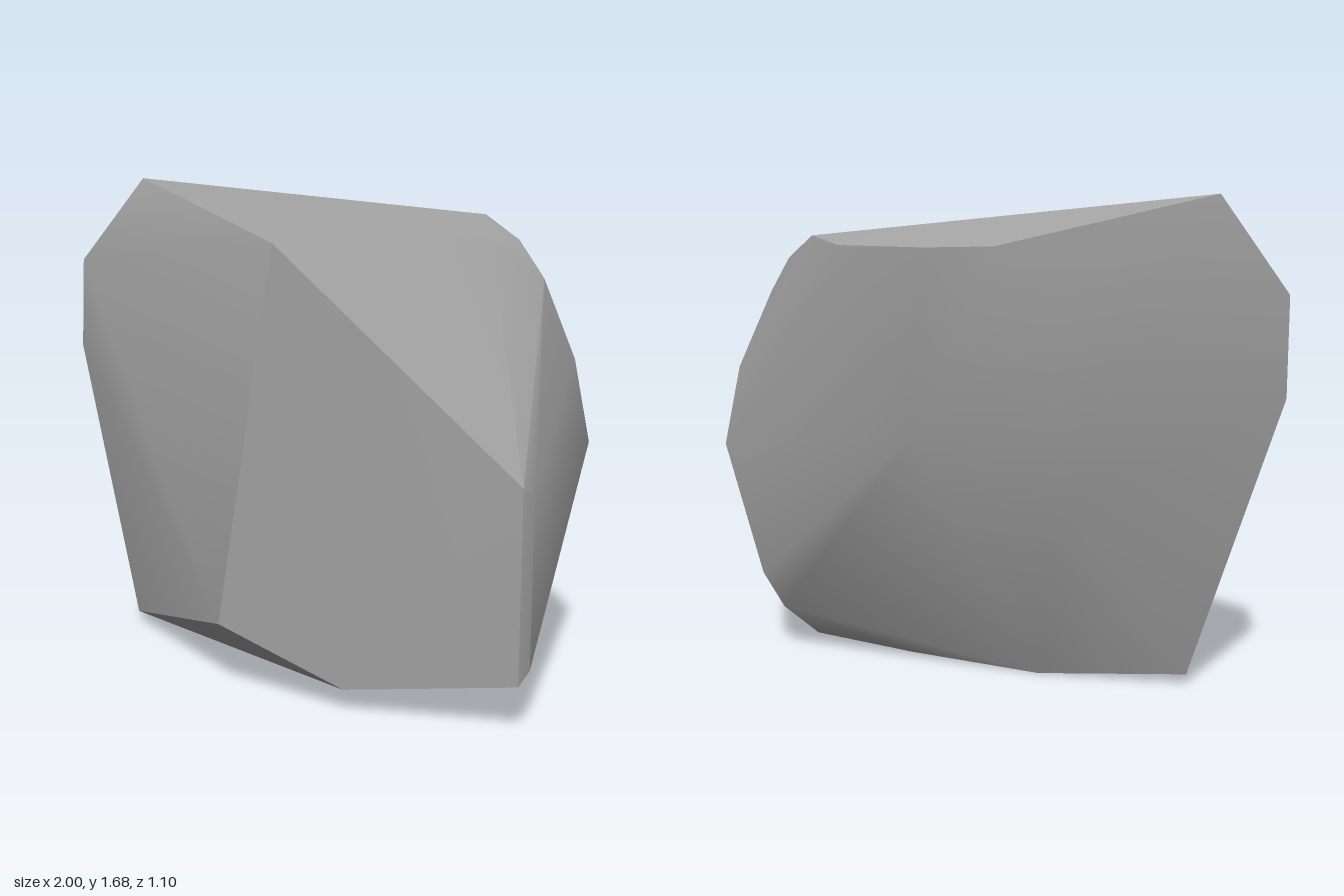
import * as THREE from 'three';
import { ConvexGeometry } from 'three/addons/geometries/ConvexGeometry.js';
import { toCreasedNormals } from 'three/addons/utils/BufferGeometryUtils.js';

// Corners of the boulder, grouped by the side they shape
const front = [
  [-0.99, 1.04, 0.39], [-0.65, 0.04, 0.37], [0.15, 0.24, 0.55],
  [0.32, 1.47, 0.45], [0.53, 0.08, 0.34],
];
const top = [
  [-0.86, 1.68, 0.18], [-1, 1.37, 0.37], [0.36, 1.55, -0.44],
  [0.57, 1.48, -0.24], [0.57, 1.47, -0.38], [0.69, 1.35, -0.37],
  [0.2, 1.52, -0.46], [-0.12, 1.515, -0.375], [-0.34, 1.52, -0.28],
];
const side = [
  [1, 0.77, 0.05], [1, 0.16, 0.05], [1, 0.74, 0], [1, 0.2, 0],
  [0.72, 1.08, -0.5], [0.75, 0.8, -0.55], [0.68, 0.31, -0.45], [0.65, 0.17, -0.38],
];
const back = [
  [-0.5, 1.33, -0.17], [-0.68, 1.28, 0], [-0.05, 0.9, -0.36],
  [0.25, 0.45, -0.28], [-0.45, 0.7, -0.05],
];
const bottom = [
  [0.64, 0.035, -0.23], [0.25, 0.02, -0.1], [-0.2, 0, 0.1], [0.3, 0.01, 0.15],
];

export function createModel() {
  const group = new THREE.Group();
  group.name = 'rock';

  const stone = new THREE.MeshStandardMaterial({ color: 0xa0a0a0 });
  stone.name = 'grey stone';

  // One hull with soft facets and sharp main edges
  const points = [...front, ...top, ...side, ...back, ...bottom]
    .map((p) => new THREE.Vector3(...p));
  const geometry = toCreasedNormals(new ConvexGeometry(points), THREE.MathUtils.degToRad(32));

  const boulder = new THREE.Mesh(geometry, stone);
  boulder.name = 'boulder';
  group.add(boulder);
  return group;
}
